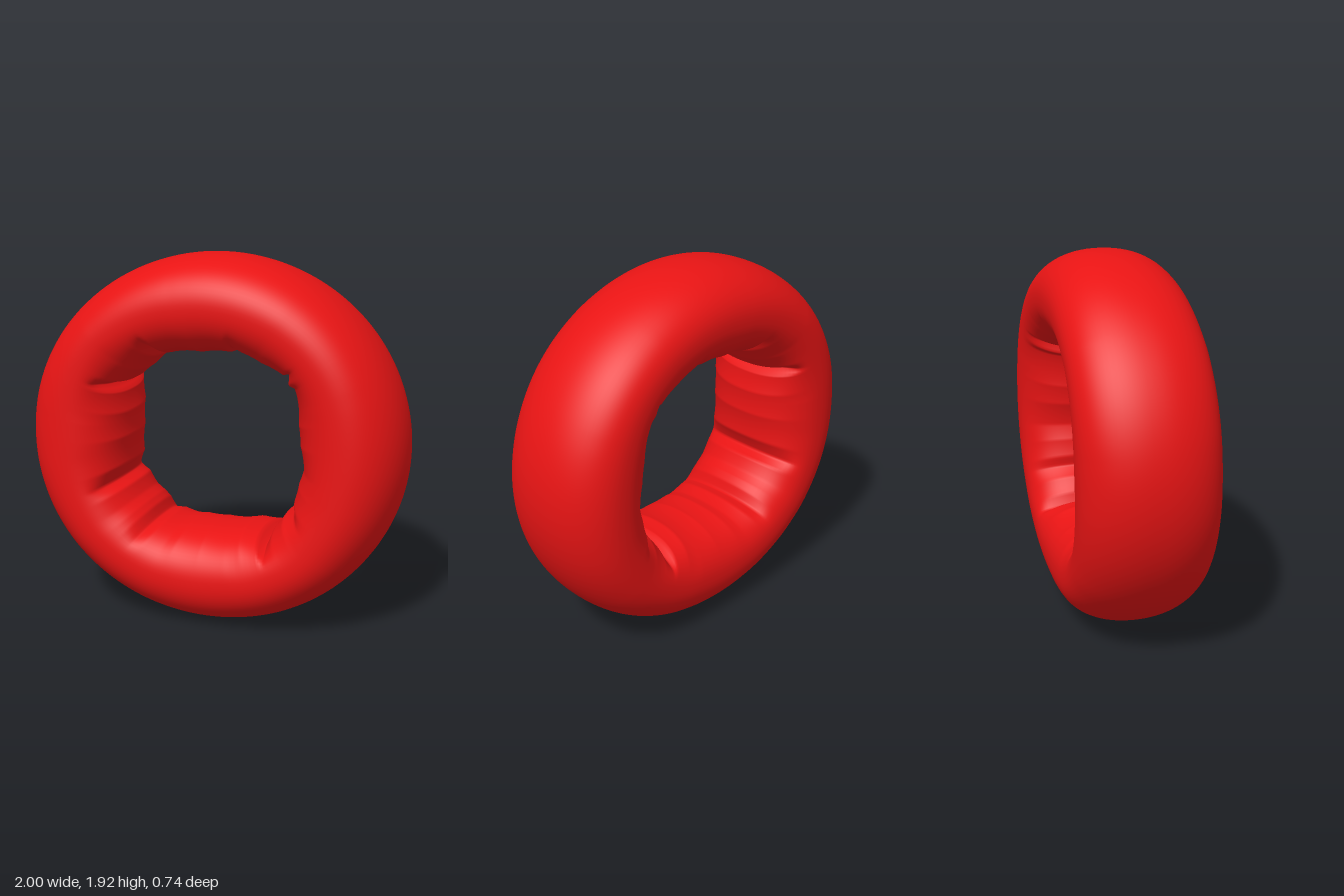
import * as THREE from 'three';

const CY = 0.96; // height of the ring's centre
const TAU = Math.PI * 2;

// Edge of the pinched hole (x, y), counter-clockwise; corners are gathered creases
const HOLE = [
  [0.465, 1.0], [0.455, 1.1], [0.45, 1.24], [0.44, 1.28], [0.405, 1.29], [0.415, 1.35], [0.38, 1.34],
  [0.27, 1.385], [0.17, 1.43], [0.125, 1.455], [0.1, 1.43], [-0.05, 1.42], [-0.23, 1.405], [-0.275, 1.445],
  [-0.3, 1.385], [-0.38, 1.31], [-0.46, 1.245], [-0.535, 1.235], [-0.485, 1.19], [-0.465, 1.08],
  [-0.465, 0.95], [-0.475, 0.8], [-0.515, 0.715], [-0.45, 0.69], [-0.41, 0.625], [-0.365, 0.595],
  [-0.335, 0.565], [-0.312, 0.505], [-0.25, 0.515], [-0.17, 0.497], [-0.12, 0.505], [0, 0.505],
  [0.18, 0.52], [0.27, 0.51], [0.315, 0.47], [0.34, 0.54], [0.39, 0.61], [0.455, 0.655], [0.445, 0.71],
  [0.465, 0.8], [0.49, 0.88],
].map(([x, y]) => {
  const dy = y - CY;
  return { a: (Math.atan2(dy, x) + TAU) % TAU, r: Math.hypot(x, dy) };
}).sort((p, q) => p.a - q.a);

// Hole radius at an angle, interpolated between neighbouring points
function holeRadius(angle) {
  const a = ((angle % TAU) + TAU) % TAU;
  let k = HOLE.findIndex((p) => p.a > a);
  if (k < 0) k = 0;
  const q = HOLE[k], p = HOLE[(k + HOLE.length - 1) % HOLE.length];
  const span = (q.a - p.a + TAU) % TAU;
  const t = ((a - p.a + TAU) % TAU) / span;
  return p.r + (q.r - p.r) * t;
}

// Hole radius with the creases averaged out
function smoothRadius(angle) {
  let sum = 0;
  for (let i = -12; i <= 12; i++) sum += holeRadius(angle + i * 0.025);
  return sum / 25;
}

// Closed ring swept from soft oval sections, with folds on the inner side
function ringGeometry(around, section) {
  const pos = [], index = [];
  const power = (v, n) => Math.sign(v) * Math.pow(Math.abs(v), 2 / n);
  for (let i = 0; i < around; i++) {
    const a = (i / around) * TAU;
    const ca = Math.cos(a), sa = Math.sin(a);
    const outer = 1 / Math.hypot(ca, sa / 0.96);
    const soft = smoothRadius(a), pinched = holeRadius(a);
    const mid = (outer + soft) / 2;
    const shift = -0.022 * ca - 0.015 * sa; // slight lean of the ring
    const depth = 0.342 + 0.006 * Math.cos(2 * a);
    for (let j = 0; j < section; j++) {
      const b = (j / section) * TAU;
      const cb = Math.cos(b), n = cb > 0 ? 2.15 : 2.3;
      const fold = THREE.MathUtils.smoothstep(-cb, 0.15, 0.8);
      const inner = soft + (pinched - soft) * fold;
      const r = mid + power(cb, n) * (cb > 0 ? outer - mid : mid - inner);
      pos.push(r * ca, CY + r * sa, shift + depth * power(Math.sin(b), n));
      const i2 = (i + 1) % around, j2 = (j + 1) % section;
      const p = i * section + j, q = i2 * section + j;
      const s = i2 * section + j2, t = i * section + j2;
      index.push(p, q, s, p, s, t);
    }
  }
  const g = new THREE.BufferGeometry();
  g.setAttribute('position', new THREE.Float32BufferAttribute(pos, 3));
  g.setIndex(index);
  g.computeVertexNormals();
  return g;
}

export function createModel() {
  const group = new THREE.Group();
  const ring = new THREE.Mesh(
    ringGeometry(400, 72),
    new THREE.MeshStandardMaterial({ color: 0xe81414 })
  );
  ring.name = 'inflatedRing';
  group.add(ring);
  return group;
}
